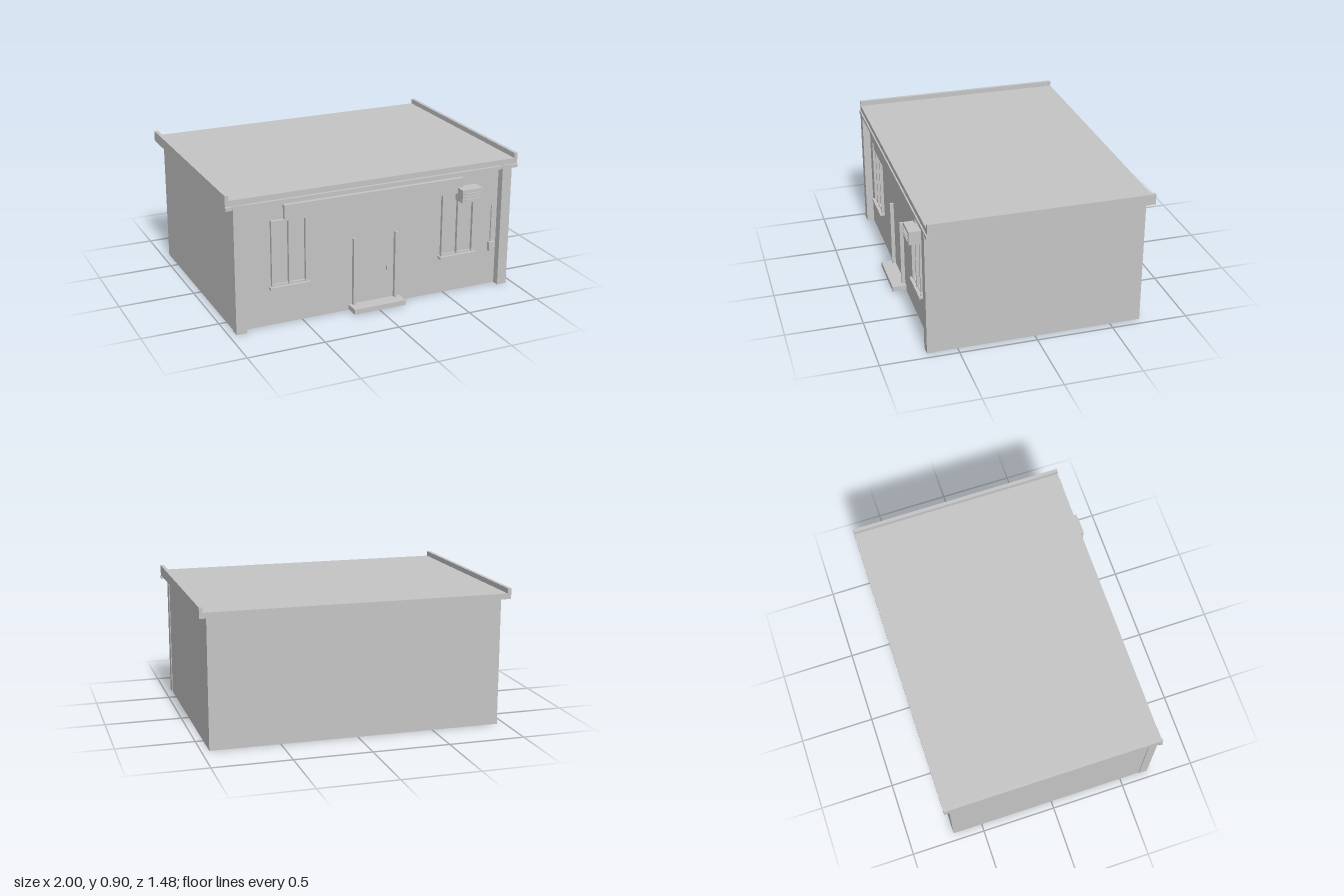
import * as THREE from 'three';

export function createModel() {
  const model = new THREE.Group();
  model.name = 'building';
  const plaster = new THREE.MeshStandardMaterial({ color: 0xc4c4c4 });
  plaster.name = 'grey plaster';

  // Box given by its lower and upper bounds on each axis
  function box(name, x0, x1, y0, y1, z0, z1, parent = model) {
    const mesh = new THREE.Mesh(new THREE.BoxGeometry(x1 - x0, y1 - y0, z1 - z0), plaster);
    mesh.position.set((x0 + x1) / 2, (y0 + y1) / 2, (z0 + z1) / 2);
    mesh.name = name;
    parent.add(mesh);
    return mesh;
  }

  const wallZ = 0.645; // recessed front wall

  // Main body and corner pilasters
  box('walls', -0.95, 0.95, 0, 0.836, -0.7, wallZ);
  for (const s of [-1, 1]) {
    const a = s * 0.888, b = s * 0.955;
    box('pilaster', Math.min(a, b), Math.max(a, b), 0, 0.836, wallZ - 0.01, 0.695);
  }

  // Roof: channel profile with raised side kerbs, run front to back
  const profile = new THREE.Shape([
    [-1, 0.836], [1, 0.836], [1, 0.905], [0.977, 0.905],
    [0.977, 0.872], [-0.977, 0.872], [-0.977, 0.905], [-1, 0.905],
  ].map(([x, y]) => new THREE.Vector2(x, y)));
  const roof = new THREE.Mesh(
    new THREE.ExtrudeGeometry(profile, { depth: 1.425, bevelEnabled: false }), plaster);
  roof.position.z = -0.74;
  roof.name = 'roof';
  model.add(roof);

  // Gutter under the front eave and the beam behind it
  box('gutter', -1, 1, 0.81, 0.832, 0.672, 0.693);
  box('eaveBeam', -0.888, 0.888, 0.81, 0.836, wallZ, 0.675);

  // Long blank fascia board
  box('fasciaBoard', -0.62, 0.615, 0.685, 0.785, wallZ, 0.672);

  // Windows: three uprights, two rails and a sill
  for (const s of [-1, 1]) {
    const win = new THREE.Group();
    win.name = 'window';
    win.position.x = s * 0.588;
    for (const x of [-0.112, 0, 0.112]) {
      box('upright', x - 0.006, x + 0.006, 0.262, 0.69, wallZ, 0.667, win);
    }
    box('topRail', -0.118, 0.118, 0.682, 0.692, wallZ, 0.667, win);
    box('bottomRail', -0.118, 0.118, 0.262, 0.272, wallZ, 0.66, win);
    box('sill', -0.131, 0.131, 0.245, 0.262, wallZ, 0.682, win);
    model.add(win);
  }

  // Doorway: jambs, handle and step
  box('doorJamb', -0.156, -0.14, 0.038, 0.49, wallZ, 0.67);
  box('doorJamb', 0.134, 0.15, 0.038, 0.49, wallZ, 0.67);
  box('doorHandle', 0.083, 0.096, 0.233, 0.264, wallZ, 0.66);
  box('doorStep', -0.18, 0.18, 0.005, 0.038, wallZ, 0.738);

  // Air conditioner with front slats
  box('airConditioner', 0.575, 0.72, 0.635, 0.722, wallZ, 0.735);
  for (const y of [0.657, 0.677, 0.697]) {
    box('slat', 0.59, 0.705, y - 0.003, y + 0.003, 0.734, 0.743);
  }

  // Meter box and its conduit
  box('meterBox', 0.828, 0.871, 0.24, 0.302, wallZ, 0.67);
  box('conduit', 0.843, 0.851, 0.302, 0.555, wallZ, 0.656);

  return model;
}
